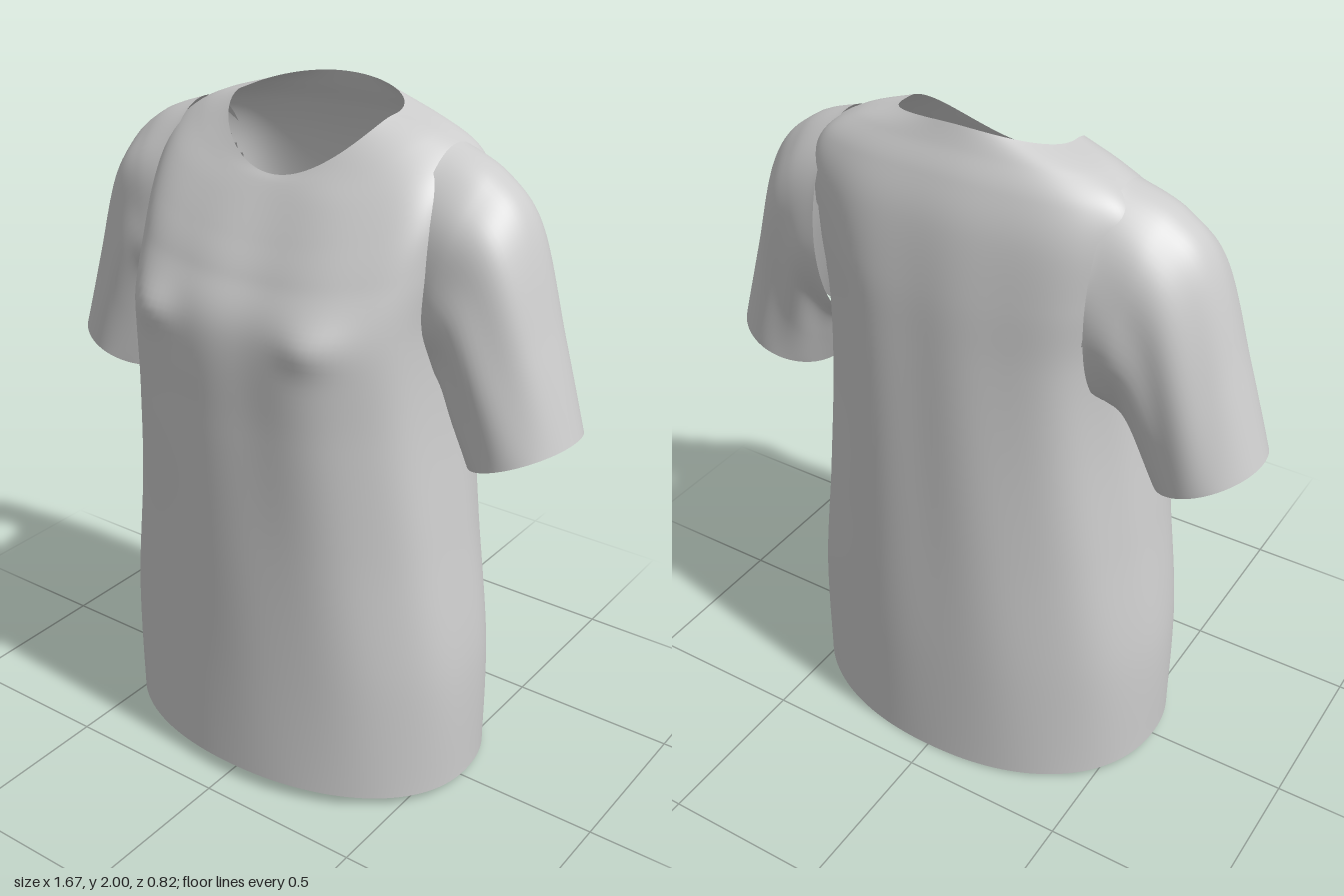
import * as THREE from 'three';

const TAU = Math.PI * 2;

// Smooth interpolation through rows of section parameters, u in 0..1
function sample(keys, u) {
  const f = u * (keys.length - 1);
  const i = Math.min(Math.floor(f), keys.length - 2);
  const t = f - i;
  const k = (n) => keys[Math.max(0, Math.min(keys.length - 1, n))];
  return keys[i].map((b, c) => {
    const a = k(i - 1)[c], d = k(i + 1)[c], e = k(i + 2)[c];
    return b + 0.5 * t * (d - a + t * (2 * a - 5 * b + 4 * d - e + t * (3 * (b - d) + e - a)));
  });
}

// Closed-around, open-ended cloth tube; skip(x, y, z) leaves holes
function loft(point, rows, cols, flip = false, skip = () => false) {
  const pos = [], index = [];
  for (let i = 0; i <= rows; i++)
    for (let j = 0; j < cols; j++) pos.push(...point(i / rows, (j / cols) * TAU));
  for (let i = 0; i < rows; i++)
    for (let j = 0; j < cols; j++) {
      const a = i * cols + j, b = i * cols + (j + 1) % cols;
      const c = b + cols, d = a + cols;
      const mid = [0, 1, 2].map((n) => (pos[a * 3 + n] + pos[c * 3 + n]) / 2);
      if (skip(...mid)) continue;
      if (flip) index.push(a, c, b, a, d, c);
      else index.push(a, b, c, a, c, d);
    }
  const g = new THREE.BufferGeometry();
  g.setAttribute('position', new THREE.Float32BufferAttribute(pos, 3));
  g.setIndex(index);
  g.computeVertexNormals();
  return g;
}

// Body: y front, y side, y back, half width, z front, z side, z back, squareness front, back
const BODY = [
  [0.04, 0.02, 0.00, 0.58, 0.41, 0.00, -0.41, 2.1, 2.2],
  [0.40, 0.40, 0.40, 0.575, 0.40, 0.00, -0.405, 2.2, 2.2],
  [0.80, 0.80, 0.80, 0.52, 0.395, 0.00, -0.388, 2.4, 2.3],
  [1.15, 1.15, 1.15, 0.475, 0.39, -0.01, -0.37, 2.9, 2.4],
  [1.42, 1.42, 1.42, 0.46, 0.38, -0.03, -0.352, 3.3, 2.5],
  [1.56, 1.62, 1.60, 0.48, 0.318, -0.05, -0.335, 3.0, 2.6],
  [1.65, 1.77, 1.77, 0.49, 0.265, -0.08, -0.305, 2.7, 2.6],
  [1.73, 1.86, 1.88, 0.46, 0.215, -0.09, -0.265, 2.5, 2.5],
  [1.78, 1.92, 1.95, 0.37, 0.182, -0.07, -0.225, 2.2, 2.4],
  [1.80, 1.955, 2.00, 0.25, 0.165, -0.03, -0.20, 2.1, 2.3],
];

function bodyPoint(u, a) {
  const [yf, ys, yb, hw, zf, zs, zb, nf, nb] = sample(BODY, u);
  const s = Math.sin(a), c = Math.cos(a), n = c > 0 ? nf : nb;
  const r = Math.pow(Math.abs(s) ** n + Math.abs(c) ** n, -1 / n);
  const y = ys + ((c > 0 ? yf : yb) - ys) * Math.abs(c) ** 1.8;
  // gentle hanging folds, fading out at hem and neckline
  const fold = 1 + 0.009 * Math.sin(11 * a + 2 * y) * Math.sin(Math.PI * u);
  const x = hw * s * r * fold;
  let z = zs + (c > 0 ? zf - zs : zs - zb) * c * r * fold;
  // fullness at the chest
  if (c > 0) z += 0.022 * Math.exp(-(((Math.abs(x) - 0.27) / 0.08) ** 2) - ((y - 1.43) / 0.06) ** 2);
  return [x, y, z];
}

// Sleeve: top x, y, underarm x, y, z centre, half depth
const SLEEVE = [
  [0.42, 1.900, 0.41, 1.27, -0.07, 0.20],
  [0.55, 1.845, 0.43, 1.27, -0.06, 0.20],
  [0.66, 1.730, 0.46, 1.24, -0.05, 0.19],
  [0.755, 1.44, 0.50, 1.15, -0.04, 0.175],
  [0.835, 1.18, 0.545, 1.06, -0.035, 0.17],
];

function sleevePoint(side, u, a) {
  const [tx, ty, bx, by, zc, zh] = sample(SLEEVE, u);
  // soft drape, strongest halfway down
  const fold = 1 + 0.03 * Math.sin(7 * a + 5 * u) * Math.sin(Math.PI * u) * Math.abs(Math.sin(a));
  const c = 0.5 * Math.cos(a) * fold, s = Math.sin(a) * fold;
  return [side * ((tx + bx) / 2 + (tx - bx) * c), (ty + by) / 2 + (ty - by) * c, zc + zh * s];
}

// Area of the body covered by the sleeve opening
const inArmhole = (x, y, z) =>
  Math.abs(x) > 0.36 && ((y - 1.585) / 0.28) ** 2 + ((z + 0.07) / 0.17) ** 2 < 1;

export function createModel() {
  const group = new THREE.Group();
  group.name = 'tShirt';
  const cloth = new THREE.MeshStandardMaterial({ color: 0xcccccc, side: THREE.DoubleSide });
  cloth.name = 'light grey cloth';

  const add = (name, geometry) => {
    const mesh = new THREE.Mesh(geometry, cloth);
    mesh.name = name;
    group.add(mesh);
  };

  add('body', loft(bodyPoint, 90, 144, false, inArmhole));
  for (const side of [1, -1])
    add(side > 0 ? 'leftSleeve' : 'rightSleeve',
      loft((u, a) => sleevePoint(side, u, a), 40, 72, side < 0));
  return group;
}
